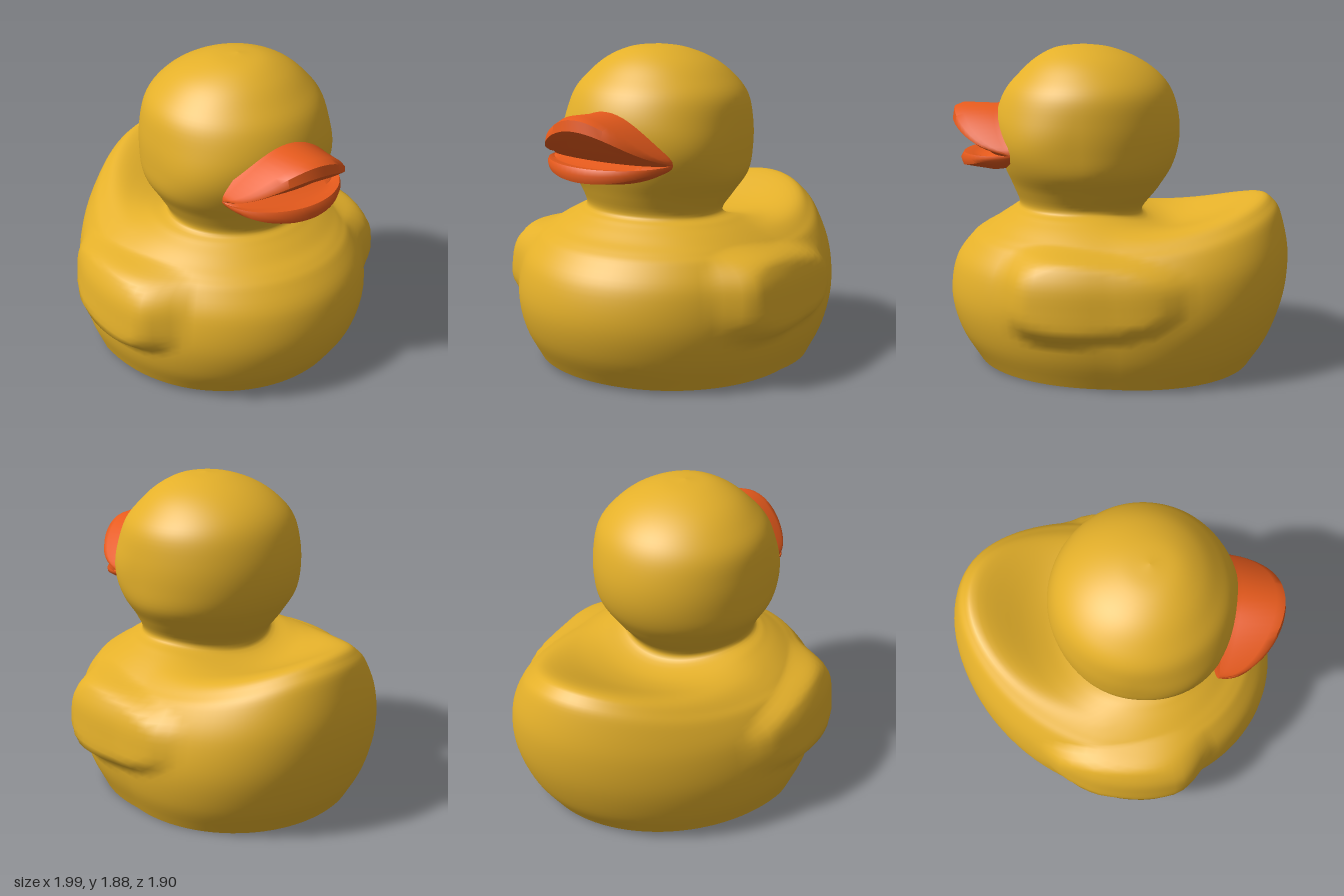
import * as THREE from 'three';
import { toCreasedNormals } from 'three/addons/utils/BufferGeometryUtils.js';

const { smoothstep } = THREE.MathUtils;

// Skins a list of closed cross-sections, each an array of [x, y, z]
function loft(sections) {
  const n = sections[0].length;
  const index = [];
  for (let i = 0; i < sections.length - 1; i++) {
    for (let j = 0; j < n; j++) {
      const k = (j + 1) % n;
      const a = i * n + j, b = i * n + k, c = a + n, d = b + n;
      index.push(a, c, b, b, c, d);
    }
  }
  const geo = new THREE.BufferGeometry();
  geo.setAttribute('position', new THREE.Float32BufferAttribute(sections.flat(2), 3));
  geo.setIndex(index);
  geo.computeVertexNormals();
  return geo;
}

// Hollow skin, base to crown: [front x, back x, half width, front y, back y, middle x]
const rings = [
  [0.84, -0.81, 0.775, 0.02, 0.02, 0],
  [0.95, -0.92, 0.845, 0.2, 0.2, 0],
  [1.0, -1.0, 0.87, 0.4, 0.44, 0.01],
  [0.97, -1.02, 0.835, 0.6, 0.68, 0.03],
  [0.88, -0.98, 0.76, 0.73, 0.89, 0.05],
  [0.82, -0.93, 0.7, 0.78, 0.98, 0.07],
  [0.75, -0.83, 0.64, 0.82, 1.01, 0.1],
  [0.69, -0.52, 0.57, 0.86, 0.87, 0.14],
  [0.63, -0.31, 0.49, 0.9, 0.825, 0.18],
  [0.585, -0.15, 0.415, 0.94, 0.88, 0.22],
  [0.62, -0.25, 0.46, 1.04, 1.03, 0.19],
  [0.67, -0.33, 0.53, 1.16, 1.16, 0.17],
  [0.71, -0.37, 0.545, 1.3, 1.3, 0.17],
  [0.72, -0.37, 0.54, 1.45, 1.45, 0.17],
  [0.67, -0.33, 0.51, 1.6, 1.6, 0.17],
  [0.58, -0.25, 0.425, 1.71, 1.71, 0.17],
  [0.48, -0.12, 0.31, 1.8, 1.8, 0.18],
  [0.36, 0.04, 0.16, 1.86, 1.86, 0.2],
  [0.2, 0.2, 0, 1.88, 1.88, 0.2],
];
const NECK = 9;

// How far the wing on one side (+1 or -1) stands out of the flank at (x, y)
function wingBulge(x, y, side) {
  const t = (x - 0.12 - 0.03 * side) / 0.52;
  const v = (y - 0.545) / (0.24 + 0.06 * t);
  const inside = 1 - Math.abs(t) ** 3 - Math.abs(v) ** 3;
  const depth = 0.07 + 0.045 * t + 0.12 * Math.max(0, y - 0.5);
  return smoothstep(inside, 0, 0.65) * depth;
}

function duckSkin() {
  const spline = (k) => new THREE.CatmullRomCurve3(
    rings.map((r) => new THREE.Vector3(r[k], r[k + 1], r[k + 2])), false, 'catmullrom');
  const widths = spline(0), heights = spline(3);
  const steps = 90, segments = 96;
  const sections = [];
  for (let i = 0; i <= steps; i++) {
    const { x: front, y: back, z: half } = widths.getPoint(i / steps);
    const { x: yFront, y: yBack, z: mid } = heights.getPoint(i / steps);
    const ringNo = (i / steps) * (rings.length - 1);
    const low = 1 - smoothstep(ringNo, 6, NECK);
    const section = [];
    for (let j = 0; j < segments; j++) {
      const a = (j / segments) * Math.PI * 2;
      const c = Math.cos(a), s = Math.sin(a), side = Math.sign(s);
      // the back of each ring lifts into the tail
      const y = yFront + (yBack - yFront) * Math.max(0, -c) ** 2.3;
      // cheeks fill out the face beside the bill, and the body is a little square
      const cheek = 1 - 0.28 * Math.exp(-(((y - 1.3) / 0.18) ** 2)) - 0.07 * low;
      const x = mid + (c > 0 ? c ** cheek * (front - mid) : c * (mid - back));
      // the tail leans to one side
      const z = s * half + Math.min(0, x) * 0.13 * low + side * wingBulge(x, y, side);
      section.push([x, y, z]);
    }
    sections.push(section);
  }
  return loft(sections);
}

// Half of the bill: a middle profile that narrows to the mouth corners
function bill(profile, power) {
  const cornerY = 1.26, steps = 28;
  const sections = [];
  for (let i = 0; i <= steps; i++) {
    const a = (i / steps - 0.5) * Math.PI;
    const c = Math.max(Math.cos(a), 0);
    const cornerX = 0.62 + 0.03 * Math.sin(a);
    const rise = 0.22 * Math.sqrt(c) + 0.78 * c ** power;
    sections.push(profile.map(([x, y]) => [
      cornerX + (x - cornerX) * c,
      cornerY + (y - cornerY) * rise,
      0.385 * Math.sin(a),
    ]));
  }
  return toCreasedNormals(loft(sections), 0.9);
}

export function createModel() {
  const yellow = new THREE.MeshStandardMaterial({ color: 0xe4b02a, side: THREE.DoubleSide });
  yellow.name = 'yellow rubber';
  const orange = new THREE.MeshStandardMaterial({ color: 0xe65a1c, side: THREE.DoubleSide });
  orange.name = 'orange bill';

  const duck = new THREE.Group();
  duck.name = 'duck';
  // turned slightly, with a slightly tilted base
  duck.rotation.set(-0.023, -0.17, 0);
  const add = (name, geo, material) => {
    const mesh = new THREE.Mesh(geo, material);
    mesh.name = name;
    duck.add(mesh);
  };

  add('bodyAndHead', duckSkin(), yellow);

  // open bill, closed at the throat
  add('upperBill', bill([
    [0.64, 1.54], [0.73, 1.525], [0.92, 1.53], [0.97, 1.51], [0.98, 1.45],
    [0.92, 1.39], [0.82, 1.34], [0.75, 1.26], [0.62, 1.26],
  ], 2.4), orange);
  add('lowerBill', bill([
    [0.62, 1.26], [0.75, 1.26], [0.8, 1.225], [0.86, 1.24], [0.915, 1.245],
    [0.935, 1.21], [0.92, 1.165], [0.72, 1.135], [0.6, 1.15],
  ], 1.4), orange);

  const model = new THREE.Group();
  model.name = 'rubberDuck';
  model.add(duck);
  return model;
}
